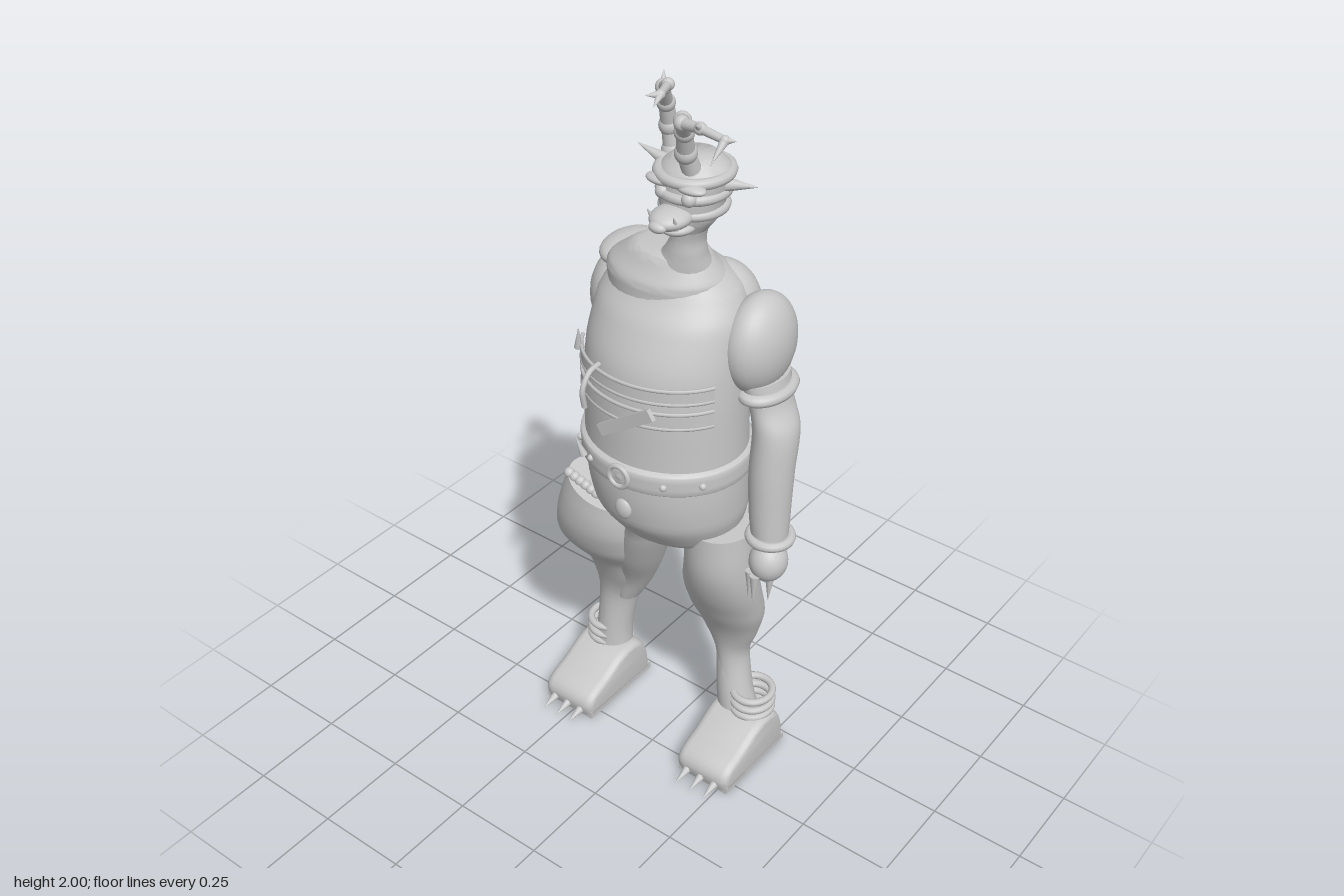
import * as THREE from 'three';
import { toCreasedNormals } from 'three/addons/utils/BufferGeometryUtils.js';

const V = (p) => new THREE.Vector3(...p);

export function createModel() {
  const model = new THREE.Group();
  model.name = 'hornedCreature';
  const clay = new THREE.MeshStandardMaterial({ color: 0xc8c8c8, side: THREE.DoubleSide });
  clay.name = 'clay grey';

  const add = (name, geo) => {
    const m = new THREE.Mesh(geo, clay);
    m.name = name;
    model.add(m);
    return m;
  };

  // Smooth body through elliptical sections [x, y, z, rx, rz], listed bottom to top
  const loft = (name, sections, { n = 32, steps = 5, shape = null } = {}) => {
    const centres = new THREE.CatmullRomCurve3(sections.map((s) => V(s)), false, 'centripetal');
    const radii = new THREE.CatmullRomCurve3(sections.map((s) => V([s[3], s[4], 0])));
    const rows = (sections.length - 1) * steps;
    const pos = [], idx = [];
    for (let j = 0; j <= rows; j++) {
      const c = centres.getPoint(j / rows), r = radii.getPoint(j / rows);
      for (let i = 0; i < n; i++) {
        const a = (i / n) * Math.PI * 2;
        pos.push(c.x + r.x * Math.sin(a), c.y, c.z + r.y * Math.cos(a));
        const k = (i + 1) % n, b = j * n;
        if (j < rows) idx.push(b + i, b + k, b + n + i, b + k, b + n + k, b + n + i);
      }
    }
    const last = sections[sections.length - 1], base = pos.length / 3, top = rows * n;
    pos.push(...sections[0].slice(0, 3), ...last.slice(0, 3));
    for (let i = 0; i < n; i++) {
      const k = (i + 1) % n;
      idx.push(base, k, i, base + 1, top + i, top + k);
    }
    if (shape) for (let i = 0; i < pos.length; i += 3) pos[i + 1] += shape(pos[i], pos[i + 1]);
    const g = new THREE.BufferGeometry();
    g.setAttribute('position', new THREE.Float32BufferAttribute(pos, 3));
    g.setIndex(idx);
    return add(name, toCreasedNormals(g, 0.8));
  };

  const ball = (name, p, r) => {
    const m = add(name, new THREE.SphereGeometry(1, 28, 20));
    m.position.set(...p);
    m.scale.set(...(Array.isArray(r) ? r : [r, r, r]));
    return m;
  };
  const rod = (name, a, b, r0, r1 = r0) => {
    const d = V(b).sub(V(a));
    const m = add(name, new THREE.CylinderGeometry(r1, r0, d.length(), 14));
    m.position.copy(V(a)).addScaledVector(d, 0.5);
    m.quaternion.setFromUnitVectors(new THREE.Vector3(0, 1, 0), d.normalize());
    return m;
  };
  const spike = (name, a, b, r) => rod(name, a, b, r, 0.0008);
  // Horizontal ring
  const ring = (name, p, rx, rz, tube) => {
    const m = add(name, new THREE.TorusGeometry(1, tube / rx, 10, 36).rotateX(Math.PI / 2));
    m.position.set(...p);
    m.scale.set(rx, rx, rz);
    return m;
  };

  // Barrel torso and neck
  loft('torso', [
    [0.03, 0.74, -0.06, 0.12, 0.09], [0.025, 0.78, -0.06, 0.175, 0.14], [0.025, 0.86, -0.045, 0.2, 0.18],
    [0.022, 0.95, -0.035, 0.207, 0.185], [0.02, 1.08, -0.03, 0.208, 0.18], [0.02, 1.2, -0.03, 0.207, 0.18],
    [0.02, 1.3, -0.035, 0.203, 0.172], [0.02, 1.4, -0.055, 0.192, 0.148], [0.02, 1.46, -0.07, 0.16, 0.12],
    [0.025, 1.5, -0.06, 0.11, 0.09], [0.03, 1.53, -0.05, 0.06, 0.06]], { n: 48 });
  loft('collar', [[0, 1.43, -0.06, 0.15, 0.12], [0, 1.47, -0.06, 0.155, 0.12], [0.01, 1.51, -0.05, 0.125, 0.09],
    [0.02, 1.54, -0.045, 0.09, 0.07], [0.03, 1.545, -0.04, 0.05, 0.05]]);
  ball('shoulderFold', [-0.14, 1.46, -0.1], [0.065, 0.035, 0.09]);
  loft('neck', [[0.045, 1.5, -0.05, 0.085, 0.075], [0.07, 1.55, -0.03, 0.052, 0.05], [0.083, 1.6, -0.025, 0.039, 0.042],
    [0.1, 1.67, -0.02, 0.048, 0.045]]);

  // Back muscles and hanging pouches
  for (const x of [-0.08, 0.1]) ball('shoulderBlade', [x, 1.38, -0.13], [0.1, 0.11, 0.09]);
  for (const x of [-0.12, 0.1]) {
    ball('backPouch', [x, 1.25, -0.195], [0.05, 0.085, 0.03]);
    spike('pouchTie', [x, 1.3, -0.2], [x, 1.38, -0.2], 0.02);
  }

  // Belt with buckle, navel and hanging cords
  loft('belt', [[0.022, 0.985, -0.033, 0.213, 0.19], [0.022, 0.99, -0.033, 0.219, 0.197], [0.022, 1.04, -0.03, 0.219, 0.195],
    [0.022, 1.047, -0.03, 0.212, 0.187]], { n: 48, steps: 3 });
  const buckle = add('buckle', new THREE.TorusGeometry(0.028, 0.007, 10, 28));
  buckle.position.set(0.025, 1.015, 0.163);
  ball('buckleStud', [0.025, 1.015, 0.16], [0.015, 0.015, 0.006]);
  ball('navel', [0.025, 0.91, 0.145], [0.024, 0.03, 0.014]);
  ball('beltBall', [-0.09, 1.0, -0.215], 0.024);
  for (const x of [-0.033, 0.087]) {
    rod('beltCord', [x, 0.98, -0.222], [x, 0.87, -0.222], 0.005);
    ball('beltCordKnot', [x, 1.0, -0.222], 0.009);
  }
  for (const a of [-0.9, -0.45, 0.55, 1]) ball('beltStud', [0.022 + 0.219 * Math.sin(a), 1.015, -0.031 + 0.196 * Math.cos(a)], 0.009);
  spike('beltThorn', [-0.1, 1.01, 0.14], [-0.115, 1.06, 0.15], 0.01);

  // Chest straps, diagonal strap and hook
  for (const [y, h] of [[1.26, 0.035], [1.195, 0.04]]) {
    const strap = add('chestStrap', new THREE.CylinderGeometry(0.213, 0.213, h, 40, 1, true, -1.15, 2.3));
    strap.position.set(0.02, y, -0.03);
    strap.scale.z = 0.188 / 0.213;
    for (const s of [-h / 2, h / 2]) {
      const edge = add('strapEdge', new THREE.TorusGeometry(0.21, 0.005, 6, 40, 2.3).rotateX(Math.PI / 2).rotateY(-0.42));
      edge.position.set(0.02, y + s, -0.03);
      edge.scale.z = 0.186 / 0.21;
    }
  }
  const diagonal = add('diagonalStrap', new THREE.BoxGeometry(0.18, 0.03, 0.012));
  diagonal.position.set(0.045, 1.175, 0.159);
  diagonal.rotation.z = 0.6;
  const hookPath = new THREE.CatmullRomCurve3([[-0.055, 1.28, 0.13], [-0.055, 1.275, 0.165], [-0.055, 1.24, 0.19], [-0.055, 1.19, 0.185]].map(V));
  add('chestHook', new THREE.TubeGeometry(hookPath, 16, 0.007, 8));
  spike('chestThorn', [-0.15, 1.27, 0.09], [-0.14, 1.33, 0.1], 0.01);

  // Head with wrinkle rings, snout, brow and side horns
  loft('head', [[0.1, 1.635, 0, 0.045, 0.05], [0.1, 1.67, -0.005, 0.068, 0.068], [0.103, 1.72, -0.015, 0.076, 0.08],
    [0.104, 1.765, -0.02, 0.082, 0.08], [0.104, 1.8, -0.02, 0.05, 0.05]]);
  for (const [y, r] of [[1.685, 0.066], [1.725, 0.072], [1.765, 0.078]]) ring('headWrinkle', [0.103, y, -0.016], r, r + 0.004, 0.013);
  ball('snout', [0.105, 1.685, 0.07], [0.045, 0.024, 0.055]);
  ball('lowerJaw', [0.105, 1.655, 0.045], [0.04, 0.018, 0.045]);
  ball('noseTip', [0.105, 1.68, 0.118], [0.022, 0.013, 0.016]);
  for (const s of [-1, 1]) {
    ball('eye', [0.105 + s * 0.035, 1.73, 0.055], 0.017);
    ball('brow', [0.105 + s * 0.04, 1.757, 0.055], [0.038, 0.012, 0.022]);
    spike('tusk', [0.105 + s * 0.03, 1.675, 0.09], [0.105 + s * 0.035, 1.71, 0.11], 0.008);
  }
  spike('sideHorn', [0.03, 1.765, -0.01], [-0.04, 1.79, 0], 0.016);
  spike('sideHorn', [0.17, 1.745, -0.025], [0.23, 1.737, -0.07], 0.018);

  // Jointed antlers
  const antler = (points, r0, r1) => points.forEach((p, i) => {
    const r = r0 + ((r1 - r0) * i) / (points.length - 1);
    ball('antlerJoint', p, r * 1.18);
    if (i) rod('antlerSegment', points[i - 1], p, r * 1.1, r * 0.9);
  });
  antler([[0.02, 1.77, -0.05], [0.012, 1.83, -0.045], [0.017, 1.89, -0.025], [0.04, 1.945, 0.015], [0.075, 1.97, 0.045], [0.105, 1.978, 0.11]], 0.024, 0.009);
  antler([[0.125, 1.77, 0.02], [0.123, 1.83, 0.045], [0.137, 1.89, 0.07], [0.165, 1.94, 0.115], [0.215, 1.973, 0.185], [0.27, 1.982, 0.198], [0.33, 1.975, 0.2]], 0.024, 0.009);
  for (const [a, b] of [
    [[0.105, 1.978, 0.11], [0.095, 1.985, 0.145]], [[0.105, 1.978, 0.11], [0.115, 1.965, 0.145]],
    [[0.33, 1.975, 0.2], [0.33, 1.94, 0.245]], [[0.33, 1.975, 0.2], [0.35, 1.975, 0.19]],
    [[0.27, 1.985, 0.2], [0.278, 1.998, 0.222]], [[0.04, 1.945, 0.015], [0.03, 1.975, 0]]]) spike('antlerTip', a, b, 0.01);

  // Left arm with cuffs and clawed hand
  ball('leftShoulder', [0.225, 1.33, -0.11], [0.075, 0.125, 0.112]);
  loft('leftArm', [[0.3, 0.79, -0.08, 0.043, 0.045], [0.292, 0.88, -0.085, 0.05, 0.052], [0.287, 1, -0.092, 0.054, 0.058],
    [0.283, 1.12, -0.108, 0.053, 0.065], [0.262, 1.18, -0.115, 0.045, 0.068], [0.24, 1.25, -0.115, 0.05, 0.08]]);
  ring('leftElbowCuff', [0.25, 1.215, -0.115], 0.048, 0.07, 0.016);
  ring('leftWristCuff', [0.3, 0.82, -0.08], 0.05, 0.05, 0.013);
  ball('leftHand', [0.308, 0.755, -0.065], [0.048, 0.055, 0.05]);
  for (const [x, z] of [[0.28, -0.03], [0.3, -0.02], [0.325, -0.05], [0.3, -0.09]])
    spike('leftClaw', [x, 0.73, z], [x, 0.65, z + 0.005], 0.013);

  // Right arm ending in a round fist
  ball('rightShoulder', [-0.15, 1.34, -0.11], [0.09, 0.12, 0.11]);
  loft('rightArm', [[-0.225, 0.79, -0.18, 0.045, 0.045], [-0.23, 0.9, -0.17, 0.05, 0.054], [-0.228, 1.02, -0.16, 0.053, 0.058],
    [-0.222, 1.13, -0.155, 0.055, 0.062], [-0.205, 1.2, -0.145, 0.045, 0.065], [-0.18, 1.3, -0.12, 0.06, 0.085]]);
  ring('rightElbowCuff', [-0.2, 1.215, -0.14], 0.048, 0.07, 0.015);
  ring('rightWristCuff', [-0.226, 0.82, -0.178], 0.05, 0.05, 0.011);
  ball('rightFist', [-0.225, 0.765, -0.19], 0.05);
  spike('armTassel', [-0.235, 1.22, -0.09], [-0.24, 1.1, -0.08], 0.016);

  // Legs, with a wide open-topped guard around the right one
  loft('leftLeg', [[0.18, 0.08, -0.16, 0.06, 0.055], [0.16, 0.18, -0.16, 0.05, 0.05], [0.146, 0.3, -0.165, 0.045, 0.045],
    [0.142, 0.4, -0.155, 0.08, 0.055], [0.146, 0.5, -0.128, 0.107, 0.08], [0.158, 0.6, -0.085, 0.105, 0.088],
    [0.172, 0.7, -0.055, 0.092, 0.09], [0.175, 0.82, -0.05, 0.085, 0.09]]);
  loft('rightLeg', [[-0.2, 0.33, -0.16, 0.03, 0.04], [-0.17, 0.42, -0.15, 0.05, 0.05], [-0.12, 0.55, -0.11, 0.062, 0.07],
    [-0.06, 0.7, -0.075, 0.06, 0.08], [-0.03, 0.82, -0.07, 0.06, 0.08]]);
  const slant = (x, y) => -0.3 * (x + 0.19) * THREE.MathUtils.smoothstep(y, 0.6, 0.77);
  loft('rightLegGuard', [[-0.265, 0.08, -0.16, 0.06, 0.055], [-0.255, 0.2, -0.16, 0.05, 0.05], [-0.24, 0.33, -0.165, 0.06, 0.052],
    [-0.22, 0.42, -0.15, 0.09, 0.062], [-0.22, 0.49, -0.13, 0.1, 0.075], [-0.23, 0.57, -0.085, 0.137, 0.09],
    [-0.218, 0.64, -0.06, 0.13, 0.092], [-0.205, 0.7, -0.05, 0.117, 0.09], [-0.19, 0.77, -0.05, 0.103, 0.088]], { shape: slant });
  for (let i = 0; i < 6; i++) {
    const x = -0.27 + i * 0.018;
    ball('guardBead', [x, 0.775 + slant(x, 0.77), 0], 0.014);
  }

  // Feet: upper, sole, toes, claws, heel stud and ankle rings
  for (const [side, x, ankle] of [['left', 0.2, 0.215], ['right', -0.265, -0.28]]) {
    const upper = new THREE.Shape();
    upper.moveTo(-0.21, 0.02);
    upper.lineTo(0.03, 0.02);
    upper.bezierCurveTo(0.05, 0.06, 0, 0.07, -0.04, 0.085);
    upper.bezierCurveTo(-0.09, 0.11, -0.11, 0.13, -0.16, 0.125);
    upper.quadraticCurveTo(-0.21, 0.12, -0.21, 0.02);
    const body = new THREE.ExtrudeGeometry(upper, { depth: 0.1, bevelEnabled: true, bevelThickness: 0.032, bevelSize: 0.016, bevelSegments: 5, curveSegments: 10 });
    body.translate(0, 0, -0.05).rotateY(-Math.PI / 2);
    add(side + 'Foot', toCreasedNormals(body, 0.7)).position.x = x;
    const sole = add(side + 'Sole', new THREE.BoxGeometry(0.16, 0.022, 0.27));
    sole.position.set(x, 0.011, -0.095);
    for (const dx of [-0.045, 0, 0.045]) {
      ball(side + 'Toe', [x + dx, 0.032, 0.025], [0.023, 0.021, 0.025]);
      spike(side + 'ToeClaw', [x + dx, 0.026, 0.035], [x + dx, 0.014, 0.1], 0.014);
    }
    ball(side + 'HeelStud', [x, 0.08, -0.232], 0.016);
    for (const y of [0.14, 0.165, 0.195]) ring(side + 'AnkleRing', [ankle, y, -0.165], 0.052, 0.055, 0.01);
  }

  return model;
}
